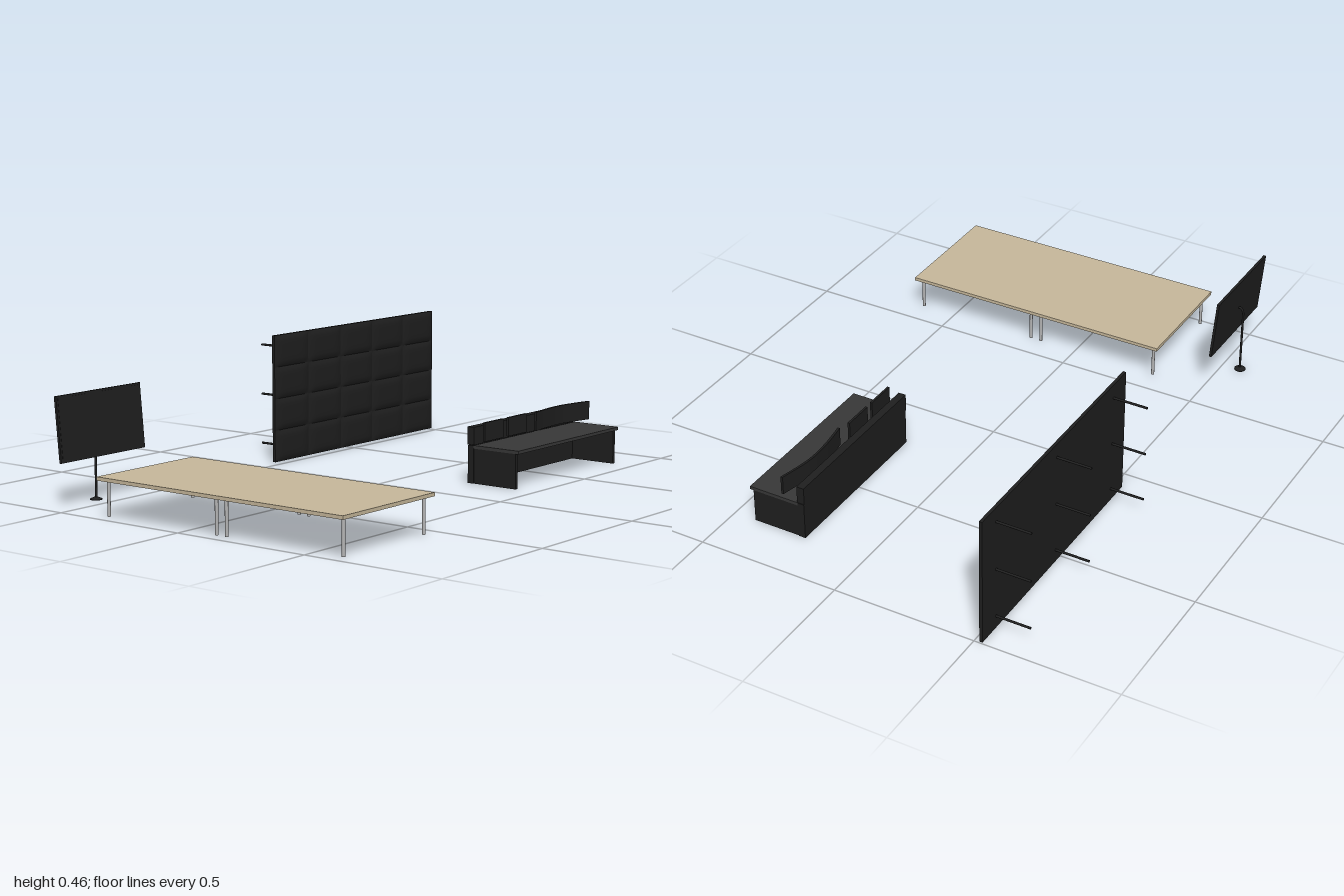
import * as THREE from 'three';

const material = (name, color, extra = {}) => {
  const m = new THREE.MeshStandardMaterial({ color, ...extra });
  m.name = name;
  return m;
};

export function createModel() {
  const root = new THREE.Group();
  root.name = 'loungeSet';

  const black = material('black', 0x1f1f1f);
  const seatGrey = material('seat grey', 0x383838);
  const wood = material('pale wood', 0xc8b99c);
  const steel = material('steel', 0xb4b4b4);

  const group = (name) => {
    const g = new THREE.Group();
    g.name = name;
    root.add(g);
    return g;
  };
  const add = (parent, name, geo, mat, x = 0, y = 0, z = 0) => {
    const m = new THREE.Mesh(geo, mat);
    m.name = name;
    m.position.set(x, y, z);
    parent.add(m);
    return m;
  };
  // Box given by its limits on each axis
  const box = (parent, name, mat, [x0, x1], [y0, y1], [z0, z1]) =>
    add(parent, name, new THREE.BoxGeometry(x1 - x0, y1 - y0, z1 - z0), mat,
      (x0 + x1) / 2, (y0 + y1) / 2, (z0 + z1) / 2);

  // Long table on four pairs of legs
  const table = group('table');
  box(table, 'tableTop', wood, [-1, -0.555], [0.123, 0.135], [-0.34, 0.645]);
  const legGeo = new THREE.CylinderGeometry(0.0055, 0.0055, 0.117, 16);
  for (const x of [-0.972, -0.583])
    for (const z of [-0.315, 0.135, 0.175, 0.625])
      add(table, 'tableLeg', legGeo, steel, x, 0.0655, z);

  // Tilted display on a hooked pole
  const display = group('display');
  const panel = new THREE.Group();
  panel.name = 'displayPanel';
  panel.position.set(-0.772, 0.257, -0.542);
  panel.rotation.x = -0.09;
  display.add(panel);
  box(panel, 'displayCase', black, [-0.193, 0.193], [-0.108, 0.108], [-0.005, 0.004]);
  box(panel, 'displayScreen', black, [-0.186, 0.186], [-0.101, 0.101], [0.004, 0.005]);
  const polePath = new THREE.CurvePath();
  const v = (y, z) => new THREE.Vector3(-0.775, y, z);
  polePath.add(new THREE.LineCurve3(v(0.005, -0.564), v(0.225, -0.564)));
  polePath.add(new THREE.CubicBezierCurve3(v(0.225, -0.564), v(0.245, -0.564), v(0.253, -0.555), v(0.25, -0.545)));
  add(display, 'displayPole', new THREE.TubeGeometry(polePath, 40, 0.004, 10), black);
  const baseProfile = [[0, 0], [0.02, 0], [0.02, 0.003], [0.006, 0.009], [0, 0.009]]
    .map(([r, y]) => new THREE.Vector2(r, y));
  add(display, 'displayBase', new THREE.LatheGeometry(baseProfile, 24), black, -0.775, 0, -0.565);

  // Padded wall: backing, domed tiles and rear rods
  const wall = group('paddedWall');
  box(wall, 'wallBacking', black, [0.075, 1], [0.005, 0.455], [-0.53, -0.519]);
  const cols = 5, rows = 4;
  const tileW = 0.925 / cols, tileH = 0.45 / rows;
  const tileGeo = new THREE.PlaneGeometry(tileW, tileH, 10, 10);
  const pos = tileGeo.attributes.position;
  for (let i = 0; i < pos.count; i++) {
    const u = (2 * pos.getX(i)) / tileW, w = (2 * pos.getY(i)) / tileH;
    pos.setZ(i, 0.007 * Math.sqrt(Math.max(0, (1 - u ** 4) * (1 - w ** 4))));
  }
  tileGeo.computeVertexNormals();
  for (let c = 0; c < cols; c++)
    for (let r = 0; r < rows; r++)
      add(wall, 'wallTile', tileGeo, black, 0.075 + (c + 0.5) * tileW, 0.005 + (r + 0.5) * tileH, -0.5188);
  const rodGeo = new THREE.CylinderGeometry(0.004, 0.004, 0.122, 12).rotateX(Math.PI / 2);
  for (const x of [0.16, 0.538, 0.917])
    for (const y of [0.05, 0.228, 0.405])
      add(wall, 'wallRod', rodGeo, black, x, y, -0.589);

  // Bench: seat slab, end panels, two-part back
  const bench = group('bench');
  box(bench, 'benchSeat', seatGrey, [0.2, 0.82], [0.12, 0.131], [0.25, 0.432]);
  box(bench, 'benchEnd', black, [0.202, 0.214], [0, 0.12], [0.25, 0.42]);
  box(bench, 'benchEnd', black, [0.806, 0.818], [0, 0.12], [0.25, 0.42]);
  box(bench, 'benchBackLower', black, [0.2, 0.82], [0, 0.13], [0.226, 0.25]);
  box(bench, 'benchBackUpper', black, [0.2, 0.82], [0.132, 0.193], [0.224, 0.251]);

  // Thin back pads: two flat, one long and wavy
  for (const x of [0.21, 0.348])
    box(bench, 'flatPad', black, [x, x + 0.11], [0.146, 0.211], [0.281, 0.289]);
  const wave = new THREE.SplineCurve([[0.497, 0.298], [0.6, 0.284], [0.7, 0.283], [0.82, 0.306]]
    .map(([x, z]) => new THREE.Vector2(x, -z)));
  const line = wave.getPoints(30);
  const outline = [
    ...line.map((p) => new THREE.Vector2(p.x, p.y - 0.004)),
    ...line.map((p) => new THREE.Vector2(p.x, p.y + 0.004)).reverse(),
  ];
  const waveGeo = new THREE.ExtrudeGeometry(new THREE.Shape(outline), { depth: 0.065, bevelEnabled: false });
  add(bench, 'wavyPad', waveGeo.rotateX(-Math.PI / 2), black, 0, 0.146, 0);

  return root;
}
